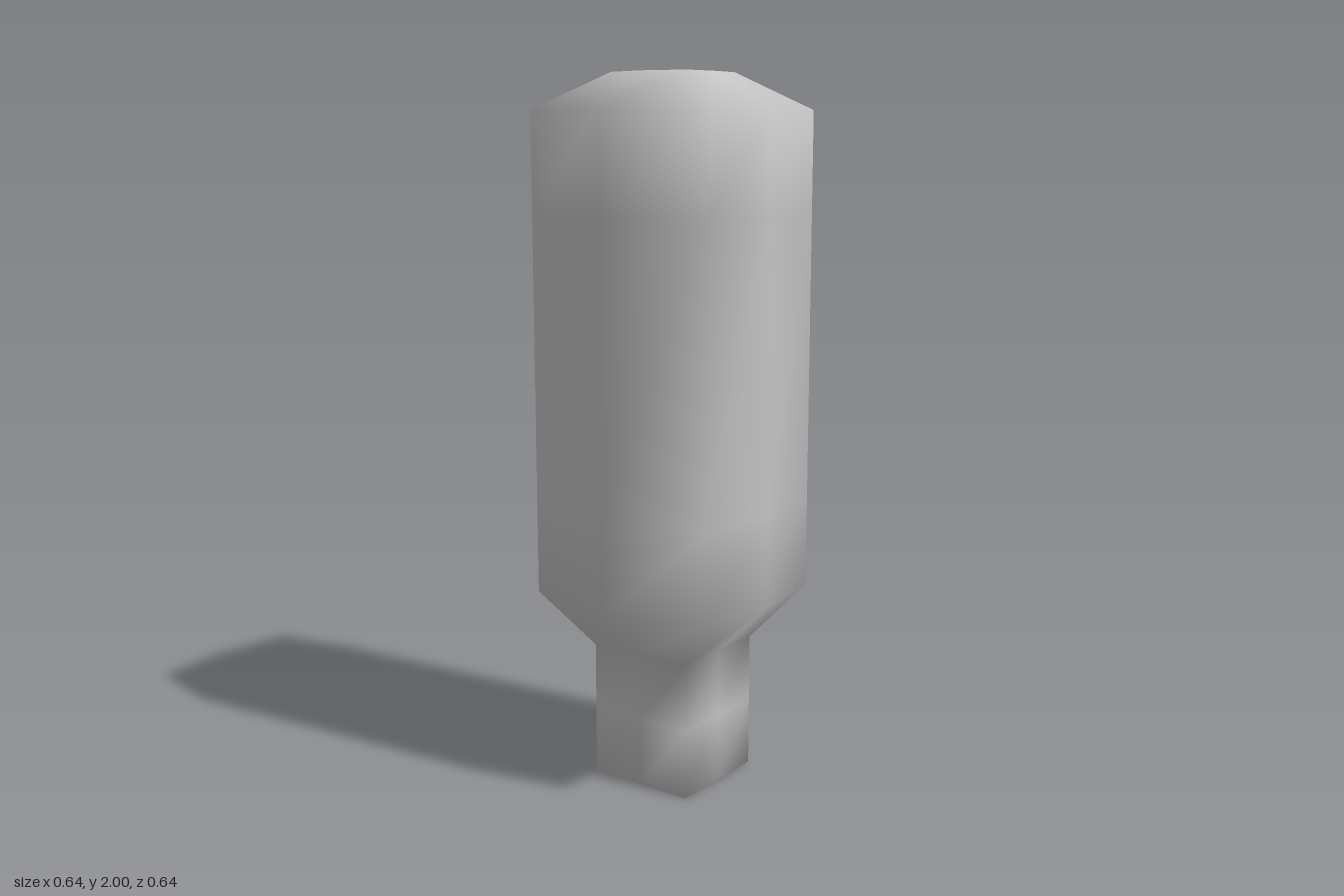
import * as THREE from 'three';

// Eight-point sections, running from the front towards +x
const bulged = [[0, 0.32], [0.29, 0.256], [0.32, 0], [0.29, -0.256], [0, -0.32], [-0.29, -0.256], [-0.32, 0], [-0.29, 0.256]];
const square = [[0, 1], [1, 1], [1, 0], [1, -1], [0, -1], [-1, -1], [-1, 0], [-1, 1]];

// Rings from bottom to top: height, section, scale
const rings = [
  [0, square, 0.16], [0.2, square, 0.16], [0.39, square, 0.16], // neck
  [0.55, bulged, 1], [0.81, bulged, 1], [1.62, bulged, 1], [1.9, bulged, 1], // body
  [2, bulged, 0.435], // flat crown
];

function loft() {
  const n = 8, positions = [], index = [];
  for (const [y, section, s] of rings)
    for (const [x, z] of section) positions.push(x * s, y, z * s);
  const bottom = rings.length * n, top = bottom + 1;
  positions.push(0, 0, 0, 0, 2, 0);
  for (let i = 0; i < n; i++) {
    const j = (i + 1) % n;
    for (let r = 0; r < rings.length - 1; r++) {
      const a = r * n + i, b = r * n + j;
      index.push(a, b, b + n, a, b + n, a + n);
    }
    const last = (rings.length - 1) * n;
    index.push(bottom, j, i, top, last + i, last + j);
  }
  const geometry = new THREE.BufferGeometry();
  geometry.setAttribute('position', new THREE.Float32BufferAttribute(positions, 3));
  geometry.setIndex(index);
  geometry.computeVertexNormals();
  return geometry;
}

export function createModel() {
  const group = new THREE.Group();
  const grey = new THREE.MeshStandardMaterial({ color: 0xc4c4c4 });
  grey.name = 'light grey';
  // Neck and body form one continuous smooth skin
  const body = new THREE.Mesh(loft(), grey);
  body.name = 'bodyWithNeck';
  group.add(body);
  return group;
}
